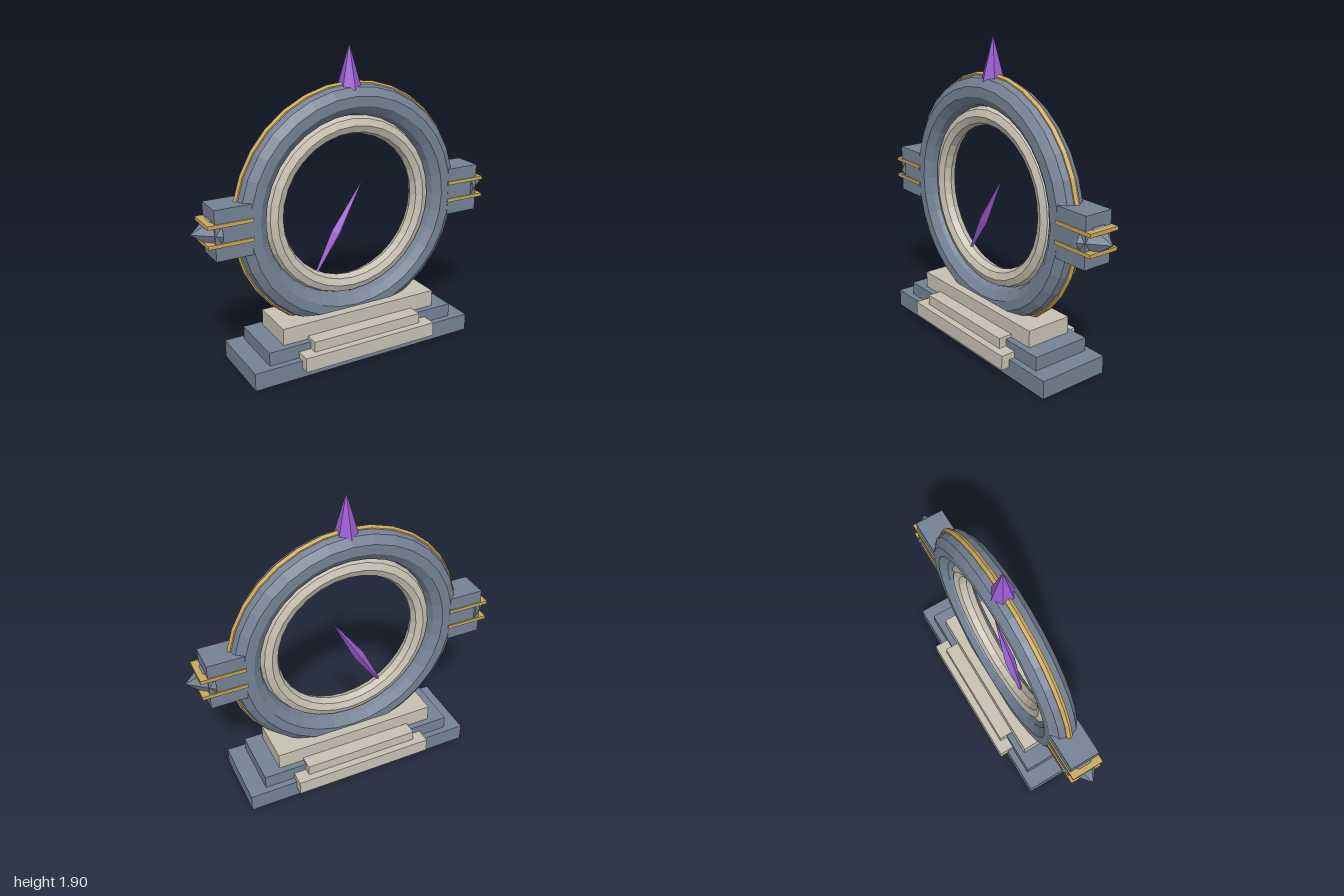
import * as THREE from 'three';

const flat = (name, color) => {
  const m = new THREE.MeshStandardMaterial({ color, flatShading: true });
  m.name = name;
  return m;
};

export function createModel() {
  const slate = flat('slate blue stone', 0x758295);
  const cream = flat('cream stone', 0xc8c2b3);
  const gold = flat('gold trim', 0xc9a85a);
  const purple = flat('purple crystal', 0x9a5cd0);

  const model = new THREE.Group();
  model.name = 'ringPortal';

  const add = (name, geometry, material, x = 0, y = 0, z = 0, parent = model) => {
    const mesh = new THREE.Mesh(geometry, material);
    mesh.name = name;
    mesh.position.set(x, y, z);
    parent.add(mesh);
    return mesh;
  };
  // Box centred on x and z, from y0 to y1
  const slab = (name, w, y0, y1, d, material) =>
    add(name, new THREE.BoxGeometry(w, y1 - y0, d), material, 0, (y0 + y1) / 2, 0);

  // Stepped base
  slab('baseLowerStep', 1.5, 0, 0.11, 0.46, slate);
  slab('baseMiddleStep', 1.28, 0.11, 0.195, 0.38, slate);
  slab('basePlinth', 1.06, 0.195, 0.3, 0.3, cream);
  slab('stairLower', 0.9, 0.06, 0.15, 0.57, cream);
  slab('stairUpper', 0.74, 0.15, 0.215, 0.48, cream);

  // Standing rings
  const cy = 0.93;
  add('outerRing', new THREE.TorusGeometry(0.65, 0.096, 10, 32), slate, 0, cy, 0);
  add('innerRing', new THREE.TorusGeometry(0.5, 0.058, 8, 32), cream, 0, cy, 0);
  add('rimBand', new THREE.TorusGeometry(0.736, 0.022, 6, 32), gold, 0, cy, 0);

  // Crystals above and below the ring
  const spike = new THREE.ConeGeometry(0.073, 0.26, 6);
  add('topCrystal', spike, purple, 0, 1.77, 0);
  add('bottomCrystal', spike, purple, 0, 0.3, 0);

  // Slanted needle inside the ring
  const needle = add('needle', new THREE.OctahedronGeometry(1), purple, -0.09, 0.77, 0);
  needle.scale.set(0.034, 0.364, 0.034);
  needle.rotation.z = -0.535;

  // Side clamps with gold plates and a pointed stud
  for (const side of [1, -1]) {
    const clamp = new THREE.Group();
    clamp.name = side > 0 ? 'leftClamp' : 'rightClamp';
    clamp.position.y = cy;
    if (side < 0) clamp.rotation.y = Math.PI;
    model.add(clamp);
    add('clampBlock', new THREE.BoxGeometry(0.22, 0.3, 0.184), slate, 0.78, 0, 0, clamp);
    for (const y of [0.057, -0.057]) {
      add('clampPlate', new THREE.BoxGeometry(0.27, 0.022, 0.2), gold, 0.8, y, 0, clamp);
    }
    const stud = add('clampStud', new THREE.ConeGeometry(0.12, 0.15, 6), slate, 0.925, 0, 0, clamp);
    stud.rotation.z = -Math.PI / 2;
  }

  return model;
}
